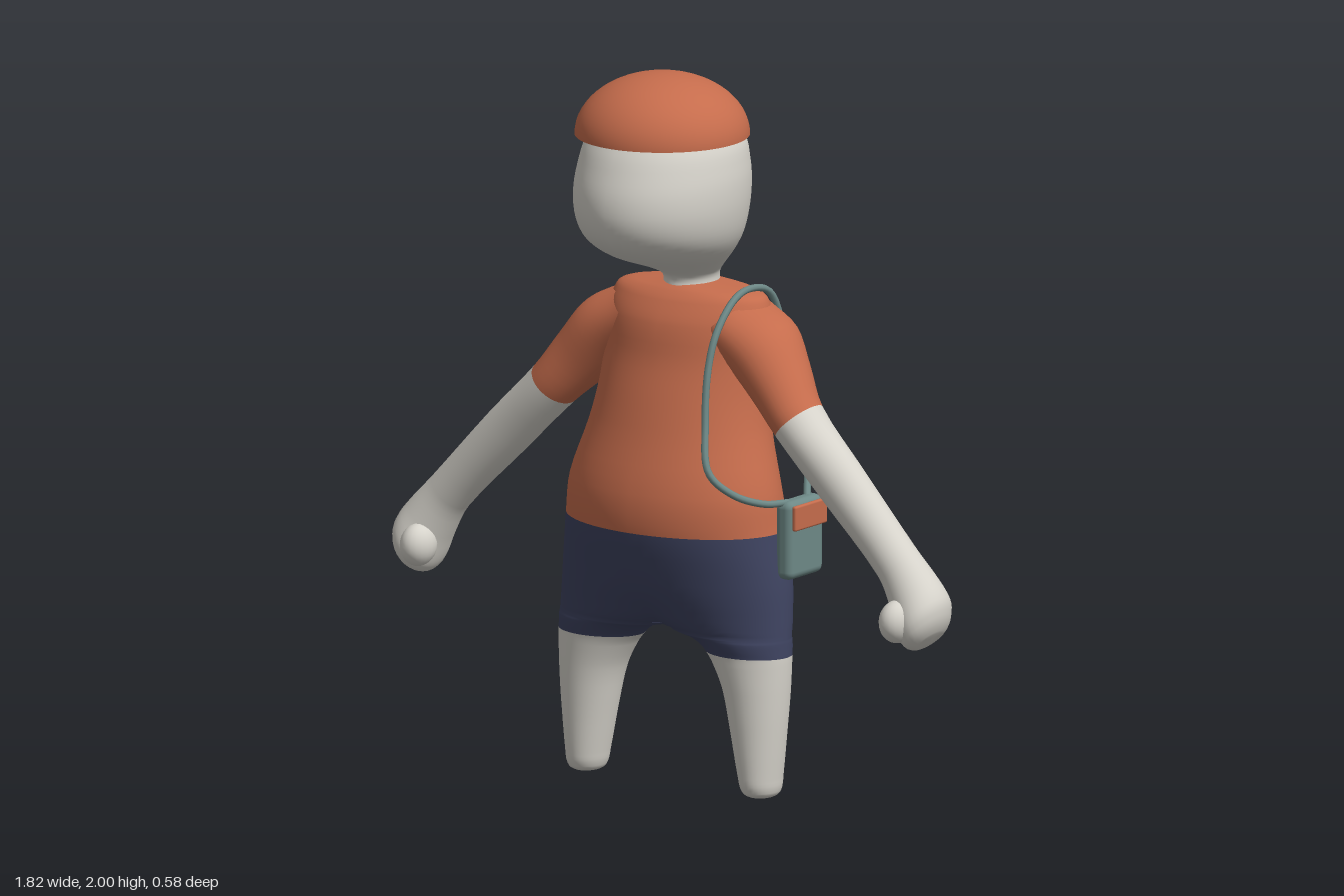
import * as THREE from 'three';
import { mergeVertices } from 'three/addons/utils/BufferGeometryUtils.js';
import { RoundedBoxGeometry } from 'three/addons/geometries/RoundedBoxGeometry.js';

const mat = (name, color) => {
  const m = new THREE.MeshStandardMaterial({ color });
  m.name = name;
  return m;
};

// Smooth interpolation of key rows (first column is the parameter); every key row is kept.
function refine(keys, steps) {
  const slope = (i, c) => {
    const a = keys[Math.max(i - 1, 0)], b = keys[Math.min(i + 1, keys.length - 1)];
    return (b[c] - a[c]) / (b[0] - a[0]);
  };
  const rows = [];
  for (let i = 0; i < keys.length - 1; i++) {
    const p = keys[i], q = keys[i + 1], h = q[0] - p[0];
    for (let k = 0; k < steps; k++) {
      const t = k / steps, t2 = t * t, t3 = t2 * t;
      rows.push(p.map((v, c) => c === 0 ? v + h * t :
        (2 * t3 - 3 * t2 + 1) * v + (t3 - 2 * t2 + t) * h * slope(i, c) +
        (3 * t2 - 2 * t3) * q[c] + (t3 - t2) * h * slope(i + 1, c)));
    }
  }
  rows.push(keys[keys.length - 1]);
  return rows;
}

// Skin through rings plus its mirror image; materialOf picks a material index per row.
function mirroredSkin(rows, ringPoint, materialOf, n = 32) {
  const pos = [], index = [], geo = new THREE.BufferGeometry();
  for (const side of [1, -1]) {
    const base = pos.length / 3;
    for (const row of rows) {
      for (let i = 0; i <= n; i++) {
        const [x, y, z] = ringPoint(row, (2 * i) / n - 1);
        pos.push(side * x, y, z);
      }
    }
    for (let j = 0; j < rows.length - 1; j++) {
      const start = index.length;
      for (let i = 0; i < n; i++) {
        const a = base + j * (n + 1) + i, b = a + 1, c = a + n + 1, d = c + 1;
        if (side > 0) index.push(a, c, b, b, c, d);
        else index.push(a, b, c, b, d, c);
      }
      geo.addGroup(start, n * 6, materialOf((rows[j][0] + rows[j + 1][0]) / 2));
    }
  }
  geo.setAttribute('position', new THREE.Float32BufferAttribute(pos, 3));
  geo.setIndex(index);
  const merged = mergeVertices(geo, 1e-5);
  merged.computeVertexNormals();
  return merged;
}

// Horizontal ring on the +x side: a closed ellipse, or one cut open at x = 0.
function levelRing([y, inner, outer, front, back], f) {
  const cx = (inner + outer) / 2, rx = (outer - inner) / 2;
  const reach = rx > 1e-6 ? Math.acos(-Math.min(1, cx / rx)) : Math.PI;
  const t = f * reach;
  return [Math.max(0, cx + rx * Math.cos(t)), y,
    (front + back) / 2 + (front - back) / 2 * Math.sin(t)];
}

// Arm ring, square to a limb that slopes down and outward.
function armRing([, x, y, z, ru, rz], f) {
  const t = f * Math.PI, u = ru * Math.cos(t);
  return [x + 0.72 * u, y + 0.69 * u, z - rz * Math.sin(t)];
}

export function createModel() {
  const group = new THREE.Group();
  group.name = 'figure';
  const skin = mat('paleSkin', 0xd6d3cb);
  const shirt = mat('rustCloth', 0xc56c4c);
  const shorts = mat('navyCloth', 0x3e4360);
  const canvas = mat('greyTeal', 0x6d8886);
  const add = (name, geo, material, x = 0, y = 0, z = 0) => {
    const m = new THREE.Mesh(geo, material);
    m.name = name;
    m.position.set(x, y, z);
    group.add(m);
    return m;
  };

  // Legs, shorts and shirt: height, inner x, outer x, front z, back z
  const bodyKeys = [
    [0, 0.295, 0.295, -0.04, -0.04],
    [0.004, 0.26, 0.325, 0.0, -0.08],
    [0.02, 0.242, 0.342, 0.024, -0.1],
    [0.06, 0.232, 0.348, 0.034, -0.108],
    [0.2, 0.203, 0.362, 0.045, -0.12],
    [0.3, 0.178, 0.37, 0.05, -0.13],
    [0.37, 0.142, 0.374, 0.054, -0.137],
    [0.4, 0.118, 0.375, 0.057, -0.142],
    [0.42, 0.097, 0.374, 0.063, -0.15],
    [0.44, 0.055, 0.373, 0.07, -0.158],
    [0.45, 0, 0.372, 0.074, -0.163],
    [0.5, -0.14, 0.369, 0.095, -0.195],
    [0.6, -0.36, 0.36, 0.142, -0.25],
    [0.74, -0.336, 0.336, 0.178, -0.276],
    [0.85, -0.32, 0.32, 0.175, -0.262],
    [1, -0.275, 0.275, 0.13, -0.262],
    [1.1, -0.258, 0.258, 0.1, -0.272],
    [1.2, -0.255, 0.255, 0.068, -0.28],
    [1.3, -0.252, 0.252, 0.045, -0.275],
    [1.36, -0.24, 0.24, 0.01, -0.25],
    [1.385, -0.2, 0.2, -0.015, -0.222],
    [1.4, -0.07, 0.07, -0.04, -0.19],
  ];
  add('body', mirroredSkin(refine(bodyKeys, 4), levelRing,
    y => (y < 0.4 ? 0 : y < 0.74 ? 1 : 2)), [skin, shorts, shirt]);

  // Sleeves, arms and hands: distance, centre x y z, thickness, depth
  const armKeys = [
    [0, 0.15, 1.3, -0.12, 0.09, 0.13],
    [0.12, 0.25, 1.24, -0.105, 0.1, 0.125],
    [0.23, 0.33, 1.155, -0.08, 0.088, 0.102],
    [0.35, 0.41, 1.065, -0.05, 0.073, 0.083],
    [0.56, 0.56, 0.915, -0.04, 0.072, 0.068],
    [0.83, 0.75, 0.72, -0.035, 0.065, 0.065],
    [0.93, 0.81, 0.64, -0.032, 0.077, 0.08],
    [1, 0.843, 0.583, -0.028, 0.084, 0.094],
    [1.05, 0.858, 0.545, -0.025, 0.073, 0.086],
    [1.08, 0.866, 0.518, -0.025, 0.044, 0.055],
    [1.09, 0.868, 0.51, -0.025, 0, 0],
  ];
  add('arms', mirroredSkin(refine(armKeys, 4), armRing, s => (s < 0.35 ? 1 : 0)), [skin, shirt]);
  for (const side of [1, -1]) {
    const thumb = add(side > 0 ? 'leftThumb' : 'rightThumb',
      new THREE.SphereGeometry(0.052, 20, 14), skin, side * 0.805, 0.575, 0.04);
    thumb.scale.set(0.9, 1.15, 1.15);
  }

  // Head and neck
  const headKeys = [
    [1.38, -0.075, 0.075, -0.03, -0.205],
    [1.42, -0.075, 0.075, -0.028, -0.202],
    [1.45, -0.105, 0.105, 0.03, -0.204],
    [1.5, -0.165, 0.165, 0.17, -0.216],
    [1.55, -0.202, 0.202, 0.25, -0.234],
    [1.61, -0.222, 0.222, 0.285, -0.245],
    [1.68, -0.23, 0.23, 0.288, -0.25],
    [1.75, -0.226, 0.226, 0.268, -0.244],
    [1.83, -0.205, 0.205, 0.23, -0.22],
    [1.9, -0.14, 0.14, 0.16, -0.13],
    [1.94, 0, 0, 0.02, 0.02],
  ];
  add('head', mirroredSkin(refine(headKeys, 4), levelRing, () => 0), [skin]);

  // Dome cap with a flat underside
  const cap = add('cap', new THREE.SphereGeometry(0.24, 48, 16, 0, Math.PI * 2, 0, Math.PI / 2),
    shirt, 0, 1.83, 0.02);
  cap.scale.y = 0.17 / 0.24;
  add('capUnderside', new THREE.CircleGeometry(0.24, 48).rotateX(Math.PI / 2), shirt, 0, 1.83, 0.02);

  // Shoulder bag, its flap and strap
  add('bag', new RoundedBoxGeometry(0.056, 0.22, 0.16, 4, 0.022), canvas, 0.368, 0.727, -0.11);
  add('bagFlap', new RoundedBoxGeometry(0.014, 0.07, 0.15, 2, 0.006), shirt, 0.404, 0.793, -0.108);
  const strapPath = new THREE.CatmullRomCurve3([
    [0.365, 0.83, -0.06], [0.345, 0.84, 0.03], [0.3, 0.875, 0.11], [0.25, 0.935, 0.15],
    [0.213, 1.06, 0.115], [0.2, 1.2, 0.085], [0.2, 1.3, 0.045], [0.2, 1.38, -0.04],
    [0.2, 1.397, -0.11], [0.2, 1.375, -0.2], [0.2, 1.3, -0.25], [0.207, 1.15, -0.268],
    [0.23, 1, -0.278], [0.29, 0.9, -0.25], [0.365, 0.83, -0.15],
  ].map(p => new THREE.Vector3(...p)));
  add('strap', new THREE.TubeGeometry(strapPath, 100, 0.01, 8), canvas);

  return group;
}
